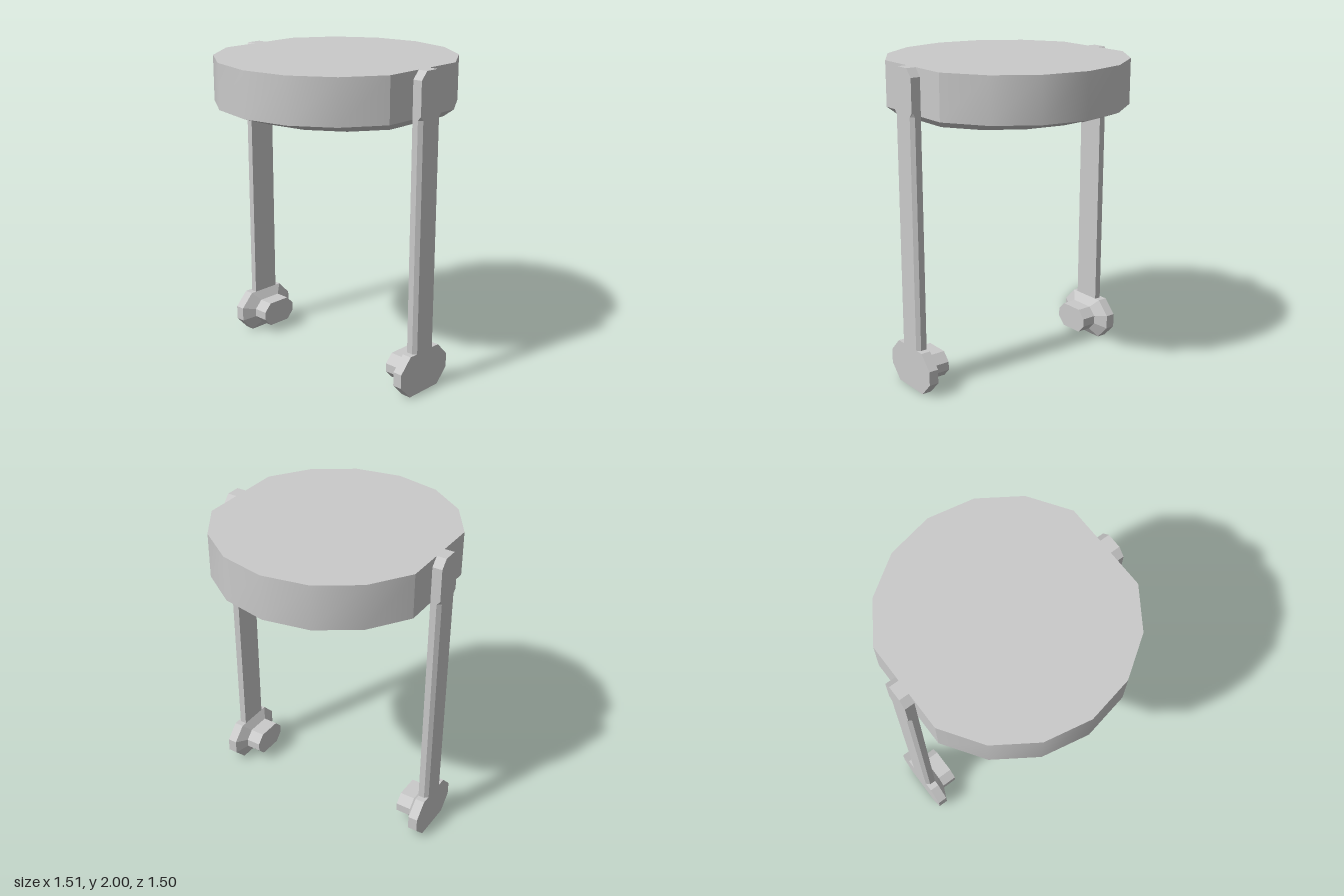
import * as THREE from 'three';
import { toCreasedNormals } from 'three/addons/utils/BufferGeometryUtils.js';

// Joins convex rings of [x, y, z] points; counter-clockwise seen from the far (last) end.
function loft(rings, capStart, capEnd, crease) {
  const pos = [];
  const n = rings[0].length;
  const tri = (a, b, c) => pos.push(...a, ...b, ...c);
  for (let r = 0; r + 1 < rings.length; r++) {
    const lo = rings[r], hi = rings[r + 1];
    for (let i = 0; i < n; i++) {
      const j = (i + 1) % n;
      tri(lo[i], lo[j], hi[j]);
      tri(lo[i], hi[j], hi[i]);
    }
  }
  const first = rings[0], last = rings[rings.length - 1];
  for (let i = 1; i + 1 < n; i++) {
    if (capStart) tri(first[0], first[i + 1], first[i]);
    if (capEnd) tri(last[0], last[i], last[i + 1]);
  }
  const g = new THREE.BufferGeometry();
  g.setAttribute('position', new THREE.Float32BufferAttribute(pos, 3));
  g.computeVertexNormals();
  return toCreasedNormals(g, crease);
}

export function createModel() {
  const model = new THREE.Group();
  const grey = new THREE.MeshStandardMaterial({ color: 0xcacaca });
  grey.name = 'grey';
  const add = (parent, name, geometry) => {
    const mesh = new THREE.Mesh(geometry, grey);
    mesh.name = name;
    parent.add(mesh);
  };
  const SMOOTH = THREE.MathUtils.degToRad(31), FLAT = 0.1;
  const TOP = 2, RIM = 1.72, BOTTOM = 1.68;

  // Half outline of the disc: a sixteen-sided circle with its side corner cut flat
  const half = [[0, 0.75], [0.287, 0.693], [0.53, 0.53], [0.693, 0.287],
    [0.693, -0.287], [0.53, -0.53], [0.287, -0.693], [0, -0.75]];
  const outline = [...half, ...half.slice(1, -1).map(([x, z]) => [-x, -z])];

  // Disc body, open underneath where the two pads close it
  add(model, 'disc', loft([RIM, TOP].map(y => outline.map(([x, z]) => [x, y, z])), false, true, SMOOTH));

  // Bevelled pads under each half, leaving a V groove between them
  const pad = loft([
    half.map(([x, z]) => [0.07 + 0.84 * x, BOTTOM, 0.83 * z]),
    half.map(([x, z]) => [x, RIM, z]),
  ], true, false, SMOOTH);
  add(model, 'leftPad', pad);
  add(model, 'rightPad', pad.clone().rotateY(Math.PI));

  // Leg sections: height, half depth, outer half depth, chamfer start
  const section = (y, w, wOut, xc) =>
    [[0.693, y, w], [xc, y, w], [0.755, y, wOut], [0.755, y, -wOut], [xc, y, -w], [0.693, y, -w]];
  const legGeometry = loft([
    section(0.26, 0.092, 0.07, 0.733),
    section(1.72, 0.092, 0.07, 0.733),
    section(1.745, 0.092, 0.092, 0.745),
    section(1.95, 0.092, 0.092, 0.745),
    section(TOP, 0.047, 0.047, 0.745),
  ], true, true, FLAT);

  // Foot: octagonal plate tapering to an inward peg
  const octagon = [[0.135, 0.13], [0.045, 0.215], [-0.045, 0.215], [-0.135, 0.13],
    [-0.135, -0.13], [-0.045, -0.215], [0.045, -0.215], [0.135, -0.13]];
  const footRing = (x, s) => octagon.map(([y, z]) => [x, 0.135 + s * y, s * z]);
  const footGeometry = loft([
    footRing(0.557, 0.6), footRing(0.655, 0.6), footRing(0.693, 1), footRing(0.755, 1),
  ], true, true, FLAT);

  for (const side of ['left', 'right']) {
    const leg = new THREE.Group();
    leg.name = side + 'Leg';
    add(leg, 'post', legGeometry);
    add(leg, 'foot', footGeometry);
    if (side === 'right') leg.rotation.y = Math.PI;
    model.add(leg);
  }
  return model;
}
